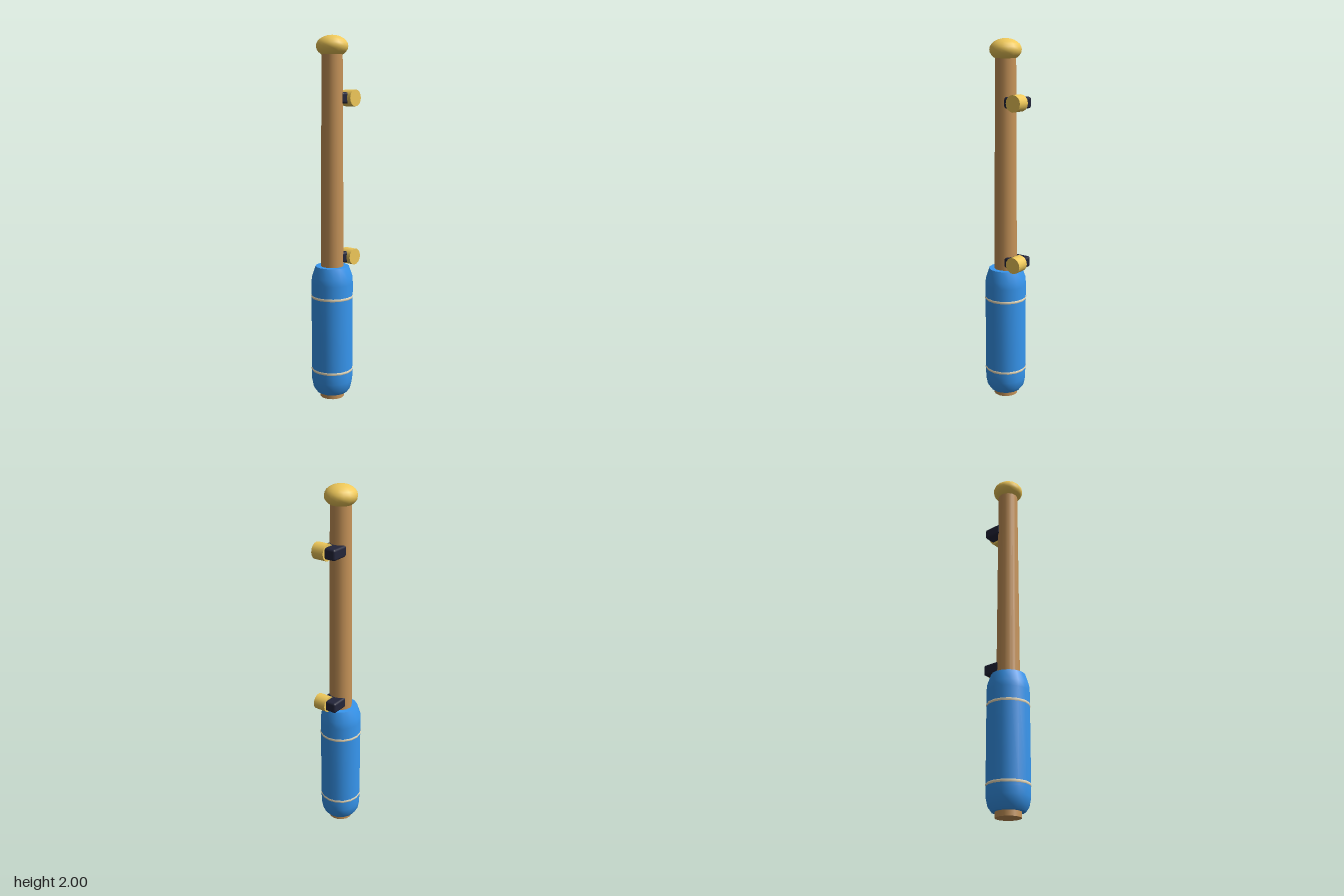
import * as THREE from 'three';
import { RoundedBoxGeometry } from 'three/addons/geometries/RoundedBoxGeometry.js';
import { toCreasedNormals } from 'three/addons/utils/BufferGeometryUtils.js';

const SIDES = 16;
const AXIS_X = -0.015; // the shaft sits slightly off centre, balancing the side clamps

const paint = (color) => new THREE.MeshStandardMaterial({ color });
const wood = paint(0xc79459);
const gold = paint(0xf0c95a);
const blue = paint(0x3797f0);
const cream = paint(0xeee0c0);
const dark = paint(0x23253a);

export function createModel() {
  const model = new THREE.Group();

  const add = (name, geometry, material, x, y, z = 0, parent = model) => {
    const mesh = new THREE.Mesh(geometry, material);
    mesh.name = name;
    mesh.position.set(x, y, z);
    parent.add(mesh);
    return mesh;
  };

  // Tapered wooden shaft running the full height
  add('shaft', new THREE.CylinderGeometry(0.056, 0.068, 1.94, SIDES), wood, AXIS_X, 0.97);

  // Padded grip with chamfered shoulders, closed against the shaft
  const profile = [
    [0.05, 0.03], [0.087, 0.03], [0.105, 0.055], [0.114, 0.1],
    [0.115, 0.14], [0.115, 0.66], [0.113, 0.695], [0.093, 0.755], [0.05, 0.755],
  ].map(([r, y]) => new THREE.Vector2(r, y));
  const grip = toCreasedNormals(new THREE.LatheGeometry(profile, SIDES), 0.7);
  add('grip', grip, blue, AXIS_X, 0);

  // Two rings around the grip
  for (const [name, y] of [['lowerBand', 0.163], ['upperBand', 0.584]]) {
    const band = add(name, new THREE.TorusGeometry(0.1, 0.018, 8, SIDES), cream, AXIS_X, y);
    band.rotation.x = Math.PI / 2;
  }

  // Flattened knob on top
  const knob = add('topKnob', new THREE.SphereGeometry(1, SIDES, 12), gold, AXIS_X, 1.942);
  knob.scale.set(0.086, 0.058, 0.086);

  // Side clamps, each a rounded block with a short round button facing forward
  for (const [name, y] of [['lowerClamp', 0.801], ['upperClamp', 1.672]]) {
    const clamp = new THREE.Group();
    clamp.name = name;
    clamp.position.y = y;
    model.add(clamp);
    add('clampBlock', new RoundedBoxGeometry(0.105, 0.06, 0.11, 2, 0.012), dark, 0.0625, 0, 0, clamp);
    const button = add('clampButton', new THREE.CylinderGeometry(0.045, 0.045, 0.072, SIDES), gold, 0.087, 0, 0.042, clamp);
    button.rotation.x = Math.PI / 2;
  }

  return model;
}
